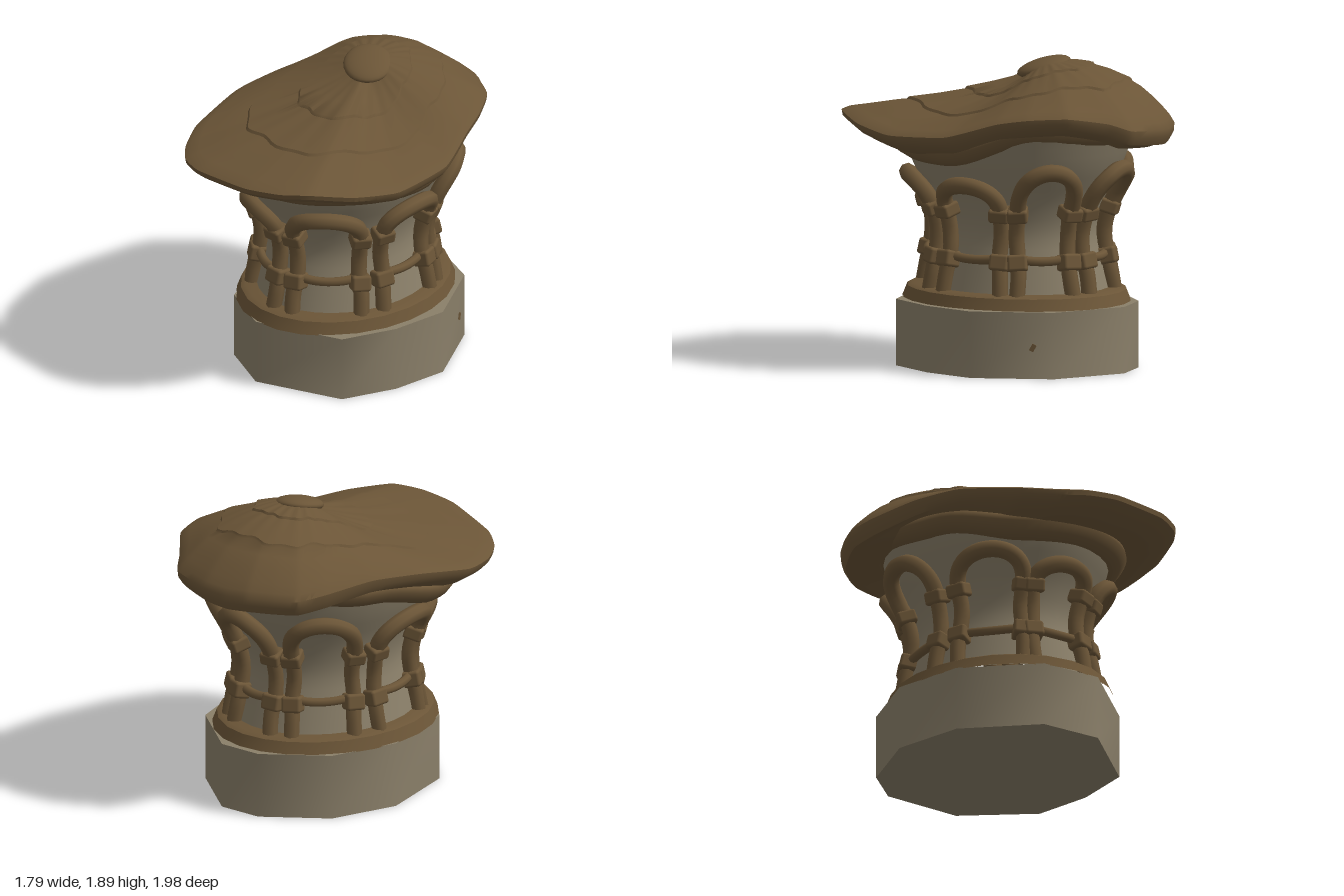
import * as THREE from 'three';
import { toCreasedNormals } from 'three/addons/utils/BufferGeometryUtils.js';
import { RoundedBoxGeometry } from 'three/addons/geometries/RoundedBoxGeometry.js';

const CX = 0.052, CZ = -0.055; // axis of the column
const TAU = Math.PI * 2;

// Closed surface from rows (top/centre first) of `cols` points round the axis
function ringSurface(rows, cols, pointAt, crease) {
  const pos = [], idx = [];
  for (let i = 0; i < rows; i++)
    for (let j = 0; j < cols; j++) pos.push(...pointAt(i, j / cols, j));
  for (let i = 0; i < rows - 1; i++)
    for (let j = 0; j < cols; j++) {
      const k = (j + 1) % cols;
      const a = i * cols + j, b = i * cols + k, c = b + cols, d = a + cols;
      idx.push(a, b, c, a, c, d);
    }
  const g = new THREE.BufferGeometry();
  g.setAttribute('position', new THREE.Float32BufferAttribute(pos, 3));
  g.setIndex(idx);
  g.computeVertexNormals();
  return crease ? toCreasedNormals(g, crease) : g;
}

// Smooth periodic lookup in a small table
function periodic(table, u) {
  const n = table.length, f = u * n, i = Math.floor(f), t = f - i;
  const s = (1 - Math.cos(t * Math.PI)) / 2;
  return table[i % n] * (1 - s) + table[(i + 1) % n] * s;
}

// Point round the column, whose plan is an oval set on the diagonal
function around(angle, r, y) {
  const c = Math.cos(angle), s = Math.sin(angle);
  return new THREE.Vector3(CX + r * (0.95 * c - 0.08 * s), y, CZ + r * (0.99 * s - 0.08 * c));
}

// Radius of the posts at a given height
const POST = [[0.4, 0.6], [0.6, 0.565], [0.8, 0.518], [1.0, 0.565], [1.2, 0.68], [1.35, 0.73]];
function postRadius(y) {
  let i = 0;
  while (i < POST.length - 2 && y > POST[i + 1][0]) i++;
  const [y0, r0] = POST[i], [y1, r1] = POST[i + 1];
  return r0 + (r1 - r0) * (y - y0) / (y1 - y0);
}

// Roof rim: x, z, height
const RIM = [
  [0.13, -0.99, 1.5], [0.3, -0.99, 1.5], [0.45, -0.95, 1.49], [0.6, -0.88, 1.5],
  [0.8, -0.7, 1.52], [0.83, -0.55, 1.57], [0.89, -0.3, 1.61], [0.86, -0.06, 1.6],
  [0.8, 0.13, 1.57], [0.69, 0.43, 1.48], [0.43, 0.75, 1.46], [0.17, 0.92, 1.5],
  [-0.1, 0.99, 1.54], [-0.28, 0.97, 1.53], [-0.5, 0.86, 1.51], [-0.8, 0.56, 1.47],
  [-0.89, 0.37, 1.45], [-0.9, 0.18, 1.44], [-0.85, -0.06, 1.46], [-0.64, -0.39, 1.53],
  [-0.4, -0.63, 1.55], [-0.17, -0.86, 1.52], [-0.02, -0.97, 1.5]];

function roofGeometry() {
  const apex = new THREE.Vector3(0.17, 1.87, -0.21);
  const rim = new THREE.CatmullRomCurve3(
    RIM.map(([x, z, y]) => new THREE.Vector3(x, y, z)), true, 'catmullrom', 0.25);
  // Share of the way to the rim, lift; the steps are overlapping layers
  const top = [[0.001, 0], [0.08, 0], [0.16, 0], [0.26, 0.002], [0.37, 0.006], [0.38, -0.006],
    [0.5, -0.002], [0.65, 0.006], [0.66, -0.006], [0.75, 0], [0.84, 0], [0.92, 0], [0.97, 0], [1, -0.01]];
  const under = [[0.995, 0.04], [0.96, 0.075], [0.9, 0.105], [0.84, 0.12], [0.72, 0.15], [0.58, 0.12]];
  return ringSurface(top.length + under.length, 138, (i, u) => {
    const edge = rim.getPoint(u);
    const dx = edge.x - apex.x, dz = edge.z - apex.z, len = Math.hypot(dx, dz);
    const c = dx / len, s = dz / len, a = Math.atan2(dz, dx);
    if (i >= top.length) {
      const [t, drop] = under[i - top.length];
      // At the back the lip is fuller and the underside shallower further in
      const inner = t < 0.8 ? 1 - 0.4 * Math.max(0, (c - s) * 0.7)
        : t > 0.95 ? 1 + 0.45 * Math.max(0, -s) : 1.05;
      return [apex.x + dx * t, edge.y - drop * inner, apex.z + dz * t];
    }
    let [t, lift] = top[i];
    if (t > 0.2 && t < 0.7) {
      t *= 1 + 0.025 * Math.sin(7 * a) + 0.015 * Math.sin(17 * a + 1);
      lift += 0.006 * Math.sin(24 * a) * (0.7 - t);
    }
    // Hollow at the front, domed at the back
    const bend = Math.exp(0.15 + 0.3 * c - (s < 0 ? 0.85 : 0.6) * s);
    return [apex.x + dx * t, apex.y + (edge.y - apex.y) * Math.pow(t, bend) + lift, apex.z + dz * t];
  }, 0.65);
}

export function createModel() {
  const stone = new THREE.MeshStandardMaterial({ color: 0x8a7f69 });
  stone.name = 'stone';
  const wood = new THREE.MeshStandardMaterial({ color: 0x6b5537 });
  wood.name = 'wood';
  const model = new THREE.Group();
  model.name = 'roundTower';
  const add = (name, geometry, material, parent = model) => {
    const mesh = new THREE.Mesh(geometry, material);
    mesh.name = name;
    parent.add(mesh);
    return mesh;
  };

  // Uneven ten-sided plinth, corners on its diagonal axes
  const corners = [[-0.35, -0.6], [-0.635, -0.18], [-0.62, 0.18], [-0.51, 0.52], [0.01, 0.757],
    [0.365, 0.62], [0.635, 0.16], [0.625, -0.28], [0.375, -0.65], [0.12, -0.755]];
  const rings = [[0.001, 0.405], [1, 0.405], [1, 0], [0.001, 0]];
  add('plinth', ringSurface(4, corners.length, (i, u, j) => {
    const [p, q] = corners[j], k = rings[i][0] * Math.SQRT1_2;
    return [0.085 - (p + q) * k, rings[i][1], -0.05 + (q - p) * k];
  }, 0.9), stone);

  // Small stain on the plinth
  const stain = add('stain', new THREE.BoxGeometry(0.028, 0.045, 0.008), wood);
  stain.position.set(0.736, 0.19, -0.1);
  stain.rotation.set(0, 1.376, -0.5);

  // Sill ring on the plinth
  const sill = [[0.45, 0.49], [0.63, 0.49], [0.66, 0.475], [0.69, 0.4]];
  add('sillRing', ringSurface(sill.length, 24, (i, u) =>
    around(u * TAU, sill[i][0], sill[i][1]).toArray(), 0.6), wood);

  // Waisted column
  const profile = new THREE.CatmullRomCurve3([[0.715, 1.46], [0.64, 1.25], [0.53, 1.03],
    [0.485, 0.84], [0.52, 0.65], [0.57, 0.45]].map(([r, y]) => new THREE.Vector3(r, y, 0)));
  add('column', ringSurface(17, 32, (i, u) => {
    const p = profile.getPoint(i / 16);
    return around(u * TAU, p.x, p.y).toArray();
  }), stone);

  // Wavy band beneath the roof, tables start at +x and turn to +z
  const low = [1.42, 1.27, 1.27, 1.26, 1.22, 1.33, 1.39, 1.39];
  const wide = [0.76, 0.81, 0.76, 0.75, 0.81, 0.76, 0.79, 0.77];
  const band = [[-0.1, 0.17], [-0.01, 0.12], [0, 0.08], [-0.04, 0.03], [-0.09, 0], [-0.2, 0.03]];
  add('eaveBand', ringSurface(band.length, 64, (i, u) =>
    around(u * TAU, periodic(wide, u) + band[i][0], periodic(low, u) + band[i][1]).toArray()), wood);

  // Layered roof and its cap
  add('roof', roofGeometry(), wood);
  const knob = add('roofCap', new THREE.SphereGeometry(1, 24, 14), wood);
  knob.scale.set(0.15, 0.05, 0.168);
  knob.position.set(0.175, 1.827, -0.21);
  knob.rotation.x = 0.27;

  // Seven arched frames round the column: direction, half width, arch height
  const arches = [[94, 0.385, 1.16], [38, 0.33, 1.15], [-9, 0.3, 1.25], [-57, 0.31, 1.24],
    [-108, 0.34, 1.24], [-163, 0.35, 1.18], [151, 0.34, 1.12]];
  arches.forEach(([degrees, half, peak], n) => {
    const frame = new THREE.Group();
    frame.name = 'archFrame' + (n + 1);
    model.add(frame);
    const mid = degrees * Math.PI / 180;
    const tube = (name, pts, r, seg) =>
      add(name, new THREE.TubeGeometry(new THREE.CatmullRomCurve3(pts), seg, r, 8), wood, frame);

    for (const side of [-1, 1]) {
      const a = mid + side * half;
      // Post
      tube('post', [0.45, 0.6, 0.72, 0.85, 1.0].map((y, k) =>
        around(a + side * 0.012 * Math.sin(k * 2 + n), postRadius(y), y)), 0.048, 14);
      // Cuffs
      for (const [y, w, h] of [[0.68, 0.12, 0.1], [0.98, 0.125, 0.085]]) {
        const cuff = add('cuff', new RoundedBoxGeometry(w, h, 0.12, 2, 0.018), wood, frame);
        cuff.position.copy(around(a, postRadius(y), y));
        cuff.rotation.set(y > 0.8 ? 0.3 : -0.2, Math.PI / 2 - a, side * 0.06, 'YXZ');
      }
    }
    // Arch
    const arch = [];
    for (let k = 0; k <= 10; k++) {
      const f = k / 10 * Math.PI, y = 0.98 + (peak - 0.98) * Math.pow(Math.sin(f), 0.8);
      arch.push(around(mid - half * Math.cos(f), postRadius(y), y));
    }
    tube('arch', arch, 0.052, 28);
    // Crossbar
    tube('crossbar', [-1, -0.5, 0, 0.5, 1].map(k =>
      around(mid + k * half, postRadius(0.7) - 0.005, 0.705 - 0.015 * (1 - k * k))), 0.028, 12);
  });

  return model;
}
